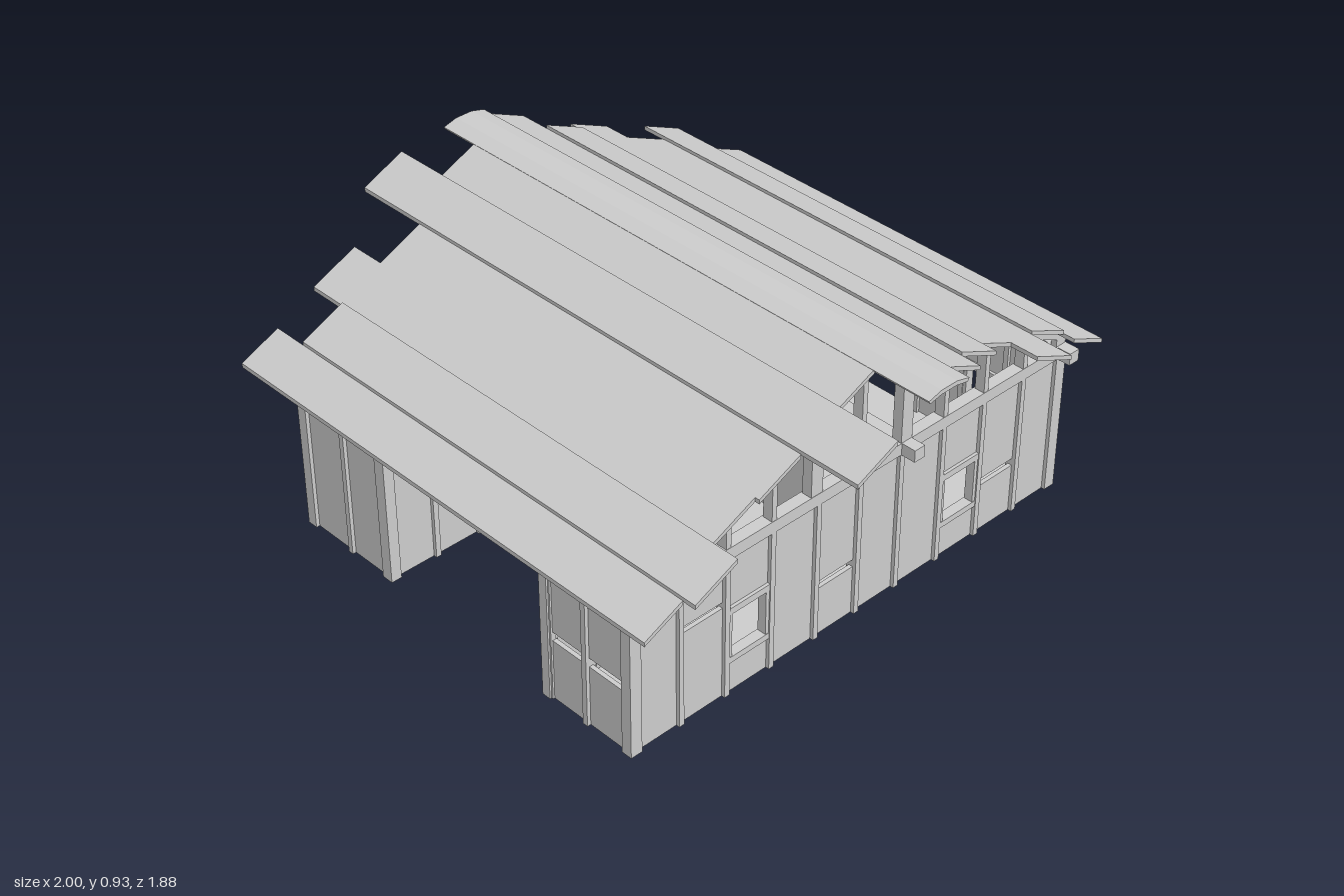
import * as THREE from 'three';

const material = new THREE.MeshStandardMaterial({ color: 0xcccccc, flatShading: true });
const SLOPE = 0.451, PLATE_LOW = 0.475, PLATE_TOP = 0.515;
const roofY = (z) => 0.92 - SLOPE * (Math.abs(z) - 0.075);

// Box given by its min and max along each axis
function box(parent, name, x0, x1, y0, y1, z0, z1) {
  const mesh = new THREE.Mesh(new THREE.BoxGeometry(x1 - x0, y1 - y0, z1 - z0), material);
  mesh.position.set((x0 + x1) / 2, (y0 + y1) / 2, (z0 + z1) / 2);
  mesh.name = name;
  parent.add(mesh);
  return mesh;
}

// Outline in (z, y), extruded along x from x0 to x1
function extrudeAlongX(parent, name, points, x0, x1) {
  const shape = new THREE.Shape(points.map(([z, y]) => new THREE.Vector2(-z, y)));
  const geo = new THREE.ExtrudeGeometry(shape, { depth: x1 - x0, bevelEnabled: false });
  geo.rotateY(Math.PI / 2);
  geo.translate(x0, 0, 0);
  const mesh = new THREE.Mesh(geo, material);
  mesh.name = name;
  parent.add(mesh);
}

// Framed wall: local x runs along it, local +z is outside.
// gaps: bay number -> list of [low, high] left open; framed bays get a sill and header.
function wall(parent, name, angle, x, z, studs, gaps = {}, framed = {}) {
  const g = new THREE.Group();
  g.name = name;
  g.rotation.y = angle;
  g.position.set(x, 0, z);
  parent.add(g);
  studs.forEach(([u, w]) => box(g, 'stud', u - w / 2, u + w / 2, 0, PLATE_LOW, -0.036, 0));
  for (let i = 0; i < studs.length - 1; i++) {
    const a = studs[i][0] + studs[i][1] / 2, b = studs[i + 1][0] - studs[i + 1][1] / 2;
    let y = 0;
    for (const [lo, hi] of [...(gaps[i] || []), [PLATE_LOW, PLATE_LOW]]) {
      if (lo > y) box(g, 'claddingPanel', a, b, y, lo, -0.026, -0.012);
      y = hi;
    }
    if (framed[i]) {
      const [lo, hi] = framed[i];
      box(g, 'header', a, b, hi, hi + 0.022, -0.036, -0.002);
      if (lo > 0) {
        box(g, 'sill', a, b, lo - 0.02, lo, -0.036, -0.002);
        for (const [p, q] of [[a, a + 0.012], [b - 0.012, b]]) box(g, 'windowJamb', p, q, lo, hi, -0.034, -0.004);
      }
    }
  }
  return g;
}

const thin = (list) => list.map((u) => [u, 0.018]);

export function createModel() {
  const model = new THREE.Group();
  model.name = 'timberHouse';

  // Floor, open under the entrance recess
  box(model, 'mainFloor', -0.685, 0.685, 0, 0.01, -0.845, 0.52);
  box(model, 'leftWingFloor', 0.36, 0.685, 0, 0.01, 0.52, 0.845);
  box(model, 'rightWingFloor', -0.685, -0.33, 0, 0.01, 0.52, 0.845);

  // Side walls with two windows each
  const sideStuds = [[-0.843, 0.036], ...thin([-0.68, -0.51, -0.34, -0.165, 0, 0.165, 0.34, 0.51, 0.68]), [0.843, 0.036]];
  const win = [0.13, 0.28], slot = [0.165, 0.19];
  wall(model, 'leftWall', Math.PI / 2, 0.7, 0, sideStuds,
    { 1: [[0.31, 0.33]], 2: [win], 4: [slot], 7: [win], 8: [slot] }, { 2: win, 7: win });
  wall(model, 'rightWall', -Math.PI / 2, -0.7, 0, sideStuds,
    { 1: [slot], 2: [win], 5: [slot], 7: [win] }, { 2: win, 7: win });

  // Back wall with doorway and two windows
  const backStuds = [[-0.682, 0.036], ...thin([-0.51, -0.345, -0.17, 0.17, 0.345, 0.51]), [0.682, 0.036]];
  const door = [0, 0.28];
  const back = wall(model, 'backWall', Math.PI, 0, -0.865, backStuds,
    { 1: [win], 3: [door], 4: [slot], 5: [win] }, { 1: win, 3: door, 5: win });
  box(back, 'crippleStud', -0.009, 0.009, 0.302, PLATE_LOW, -0.036, 0);

  // Front wings either side of the recess
  wall(model, 'frontRightWing', 0, 0, 0.865, [[-0.682, 0.036], ...thin([-0.5]), [-0.33, 0.04]]);
  const low = [[0.205, 0.235]];
  wall(model, 'frontLeftWing', 0, 0, 0.865, [[0.36, 0.03], ...thin([0.518]), [0.682, 0.036]], { 0: low, 1: low });

  // Recess walls and front door
  const recessSide = thin([-0.16, 0, 0.16]);
  wall(model, 'recessRightWall', Math.PI / 2, -0.31, 0.69, recessSide);
  wall(model, 'recessLeftWall', -Math.PI / 2, 0.345, 0.69, recessSide);
  const entry = wall(model, 'entranceWall', 0, 0, 0.53, thin([-0.32, -0.143, -0.006, 0.197, 0.355]),
    { 1: [[0.17, 0.19], [0.265, 0.28]] }, { 1: [0, 0.28], 2: [0, 0.28] });
  box(entry, 'frontDoor', 0.003, 0.188, 0.012, 0.28, -0.03, -0.006);
  box(entry, 'crippleStud', 0.015, 0.033, 0.302, PLATE_LOW, -0.036, 0);

  // Inner partition with central opening
  for (const [name, studs] of [['partitionLeft', [0.17, 0.34, 0.51, 0.66]], ['partitionRight', [-0.66, -0.51, -0.34, -0.17]]]) {
    wall(model, name, 0, 0, -0.16, thin(studs), { 1: [win] });
  }

  // Top plates and tie beams
  for (const s of [1, -1]) {
    box(model, 'sideTopPlate', s * 0.681 - 0.02, s * 0.681 + 0.02, PLATE_LOW, PLATE_TOP, -0.867, 0.9);
    box(model, 'longTopPlate', -0.745, 0.745, PLATE_LOW, PLATE_TOP, s * 0.847 - 0.02, s * 0.847 + 0.02);
  }
  box(model, 'partitionBeam', -0.745, 0.75, PLATE_LOW, PLATE_TOP, -0.198, -0.158);
  box(model, 'entranceBeam', -0.69, 0.69, PLATE_LOW, PLATE_TOP, 0.49, 0.53);

  // Rafter pairs with collar ties
  for (let i = -4; i <= 4; i++) {
    const x = i * 0.171;
    for (const s of [1, -1]) {
      const pts = [[0.91, roofY(0.91) - 0.015], [0.06, 0.912], [0.06, 0.884], [0.91, roofY(0.91) - 0.04]];
      const line = pts.map(([z, y]) => [s * z, y]);
      extrudeAlongX(model, 'rafter', line, x - 0.01, x + 0.01);
      box(model, 'rafterFoot', x - 0.01, x + 0.01, PLATE_TOP, 0.55, s * 0.845 - 0.02, s * 0.845 + 0.02);
    }
    box(model, 'collarTie', x - 0.01, x + 0.01, 0.84, 0.88, -0.158, 0.158);
  }

  // Gable studs, open to the roof space
  for (const sx of [1, -1]) {
    const x0 = sx * 0.683 - 0.017, x1 = sx * 0.683 + 0.017;
    box(model, 'gableKingPost', x0, x1, PLATE_TOP, 0.84, -0.009, 0.009);
    for (const s of [1, -1]) {
      box(model, 'gablePost', x0, x1, PLATE_TOP, 0.842, s * 0.178 - 0.022, s * 0.178 + 0.022);
      for (const z of [0.34, 0.51, 0.68]) {
        box(model, 'gableStud', x0, x1, PLATE_TOP, roofY(z) - 0.025, s * z - 0.009, s * z + 0.009);
      }
    }
  }

  // Roof planks of uneven length, from eave to ridge: [x0, x1]
  const edges = [0.938, 0.805, 0.657, 0.502, 0.352, 0.207, 0.07];
  const planks = {
    1: [[-0.85, 0.835], [-0.73, 0.88], [-0.865, 0.785], [-0.745, 0.8], [-1, 1], [-0.82, 0.79]],
    '-1': [[-0.72, 0.77], [-0.87, 0.73], [-0.78, 0.875], [-0.875, 0.78], [-0.82, 0.85], [-0.925, 0.915]],
  };
  for (const s of [1, -1]) {
    planks[s].forEach(([x0, x1], i) => {
      const lift = i === 1 || i === 4 ? 0.011 : 0;
      const a = edges[i], b = edges[i + 1];
      const pts = [[a, roofY(a) + lift], [b, roofY(b) + lift], [b, roofY(b) + lift - 0.014], [a, roofY(a) + lift - 0.014]];
      extrudeAlongX(model, 'roofPlank', pts.map(([z, y]) => [s * z, y]), x0, x1);
    });
  }
  extrudeAlongX(model, 'ridgePlank',
    [[0.078, 0.921], [0.03, 0.934], [-0.03, 0.934], [-0.078, 0.921], [-0.072, 0.911], [-0.03, 0.92], [0.03, 0.92], [0.072, 0.911]],
    -0.955, 0.985);

  return model;
}
